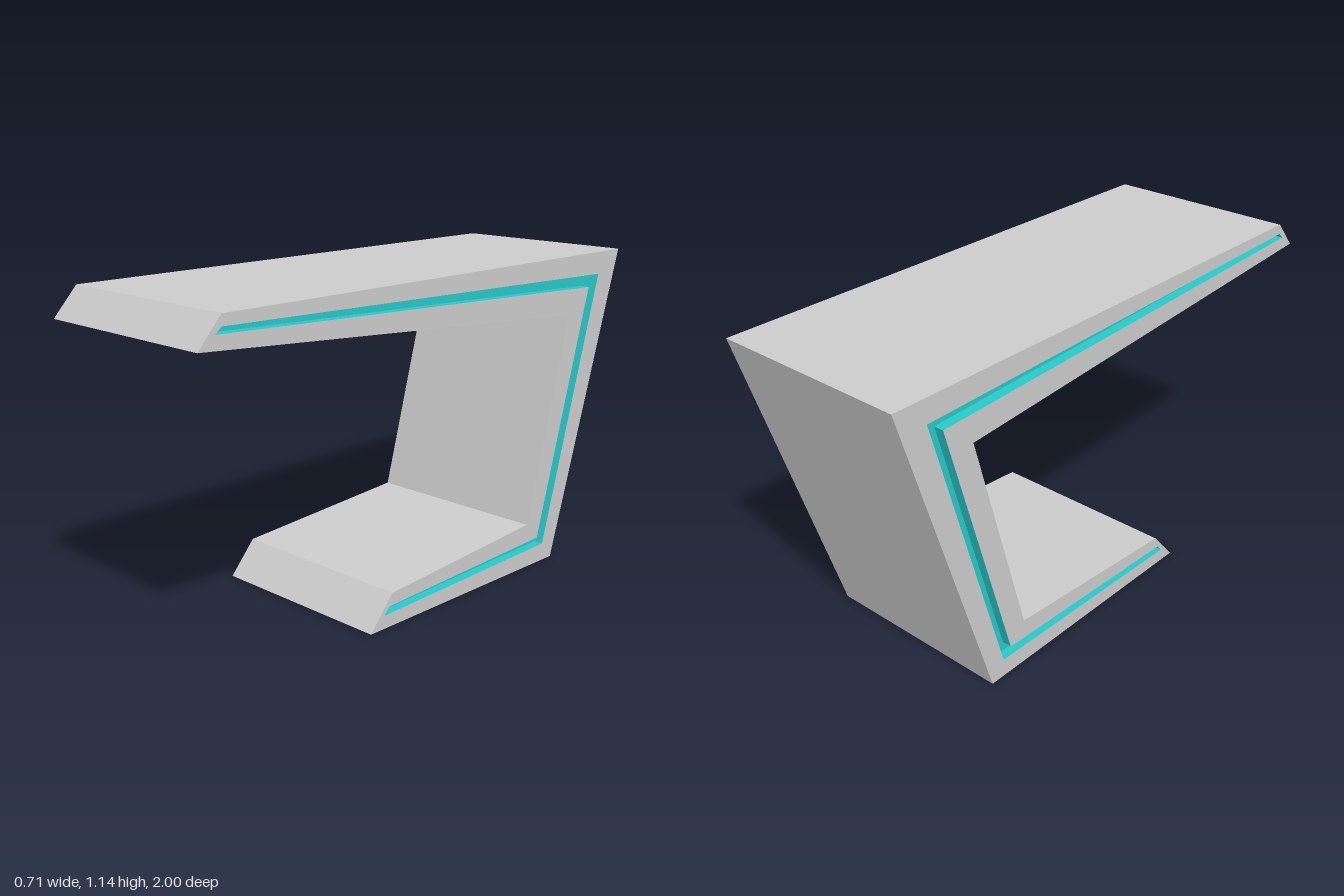
import * as THREE from 'three';
import { mergeGeometries } from 'three/addons/utils/BufferGeometryUtils.js';

const HALF = 0.356;   // half the width
const DEPTH = 0.035;  // depth of the side channels

// Side profiles as [z, y]; the body runs so its walls face out, the channel so they face in
const bodyProfile = [
  [1, 1.045], [-0.7, 0.927], [-0.492, 0.167], [0.232, 0.117],
  [0.333, 0], [-0.646, 0], [-1, 1.142], [0.913, 1.142],
];
const channelProfile = [
  [0.914, 1.106], [-0.876, 1.06], [-0.592, 0.066], [0.271, 0.047],
  [0.246, 0.073], [-0.557, 0.099], [-0.817, 1.017], [0.938, 1.086],
];

// Flat face at x, looking along side * x, with an optional opening
function face(profile, side, x, hole) {
  const flat = (pts) => pts.map(([z, y]) => new THREE.Vector2(-side * z, y));
  const shape = new THREE.Shape(flat(profile));
  if (hole) shape.holes.push(new THREE.Path(flat(hole)));
  const g = new THREE.ShapeGeometry(shape).toNonIndexed();
  g.deleteAttribute('uv');
  return g.rotateY(side * Math.PI / 2).translate(x, 0, 0);
}

// Wall that follows a closed profile from x0 to x1
function wall(profile, x0, x1) {
  const pos = [];
  profile.forEach(([z, y], i) => {
    const [zn, yn] = profile[(i + 1) % profile.length];
    pos.push(x0, y, z, x0, yn, zn, x1, yn, zn);
    pos.push(x0, y, z, x1, yn, zn, x1, y, z);
  });
  const g = new THREE.BufferGeometry();
  g.setAttribute('position', new THREE.Float32BufferAttribute(pos, 3));
  g.computeVertexNormals();
  return g;
}

export function createModel() {
  const model = new THREE.Group();
  const grey = new THREE.MeshStandardMaterial({ color: 0xcccccc });
  const teal = new THREE.MeshStandardMaterial({ color: 0x28c8c8 });
  const add = (name, parts, material) => {
    const mesh = new THREE.Mesh(mergeGeometries(parts), material);
    mesh.name = name;
    model.add(mesh);
  };

  // Folded slab: top arm, leaning back and foot, open where the channels are cut
  add('body', [
    wall(bodyProfile, -HALF, HALF),
    face(bodyProfile, 1, HALF, channelProfile),
    face(bodyProfile, -1, -HALF, channelProfile),
  ], grey);

  // Recessed coloured channel on each side: walls and floor
  add('leftChannel', [
    wall(channelProfile, HALF - DEPTH, HALF),
    face(channelProfile, 1, HALF - DEPTH),
  ], teal);
  add('rightChannel', [
    wall(channelProfile, -HALF, DEPTH - HALF),
    face(channelProfile, -1, DEPTH - HALF),
  ], teal);

  return model;
}
